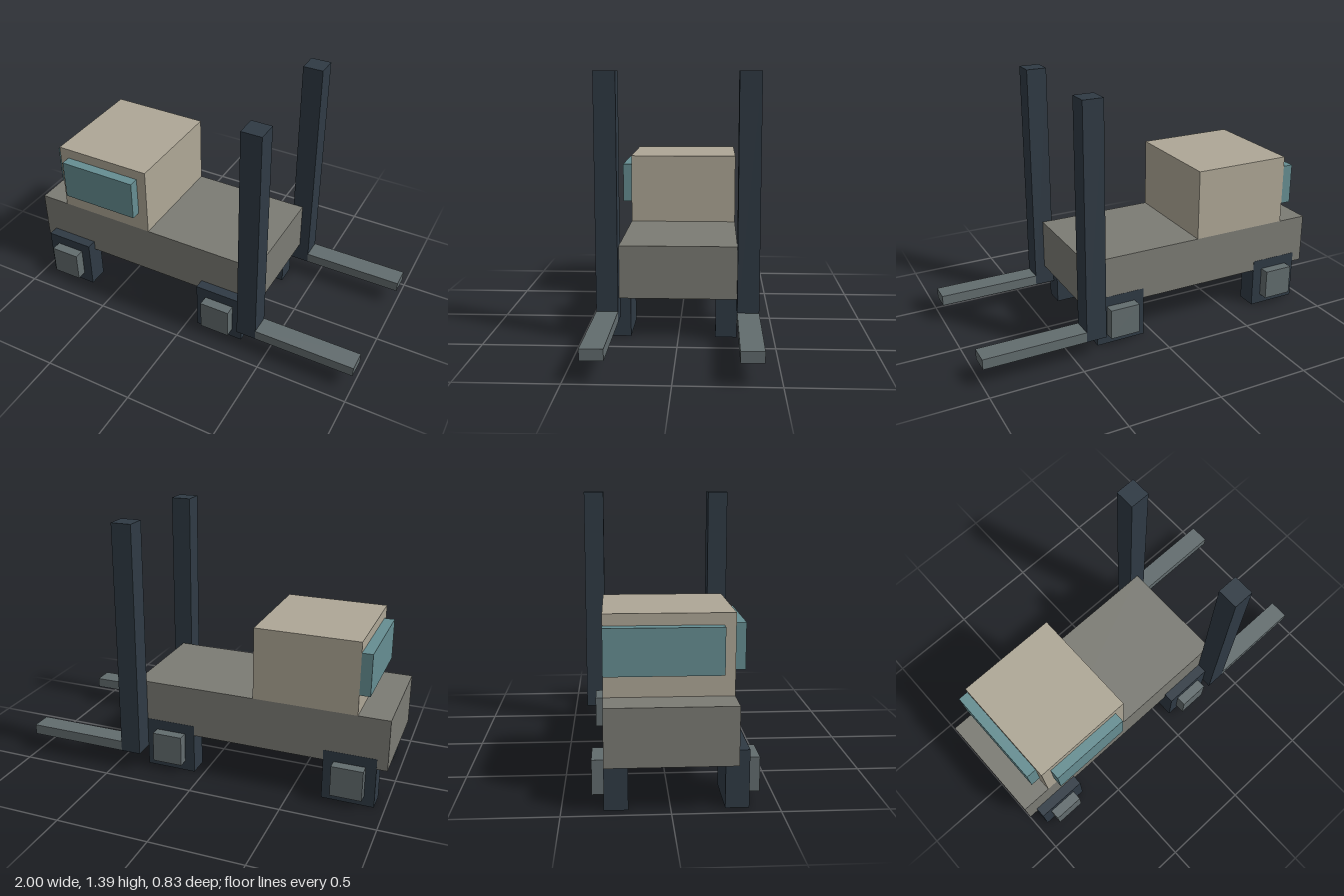
import * as THREE from 'three';

const material = (color) => new THREE.MeshStandardMaterial({ color, flatShading: true });

export function createModel() {
  const model = new THREE.Group();
  model.name = 'forkliftTruck';
  const dark = material(0x2f3a44);
  const steel = material(0x626c6e);
  const bodyPaint = material(0x7b7b74);
  const cabPaint = material(0xaea796);
  const glass = material(0x668e92);

  // Box given by its [min, max] range on each axis
  function block(name, mat, [x0, x1], [y0, y1], [z0, z1]) {
    const mesh = new THREE.Mesh(new THREE.BoxGeometry(x1 - x0, y1 - y0, z1 - z0), mat);
    mesh.position.set((x0 + x1) / 2, (y0 + y1) / 2, (z0 + z1) / 2);
    mesh.name = name;
    model.add(mesh);
  }

  // Chassis and cab
  block('chassis', bodyPaint, [-1, 0.388], [0.222, 0.5], [-0.305, 0.305]);
  block('cab', cabPaint, [-0.834, -0.28], [0.5, 0.89], [-0.305, 0.305]);

  // Windows on one side and one end of the cab
  block('sideWindow', glass, [-0.78, -0.335], [0.611, 0.834], [0.305, 0.36]);
  block('endWindow', glass, [-0.89, -0.834], [0.611, 0.834], [-0.305, 0.25]);

  // Square wheels with hubs; the far pair sits flush with the chassis side
  for (const x of [-0.945, 0.055]) {
    for (const [side, inner, outer, hub] of [['front', 0.25, 0.361, 0.417], ['back', -0.194, -0.306, -0.361]]) {
      const span = (a, b) => [Math.min(a, b), Math.max(a, b)];
      block(side + 'Wheel', dark, [x, x + 0.278], [0, 0.278], span(inner, outer));
      block(side + 'Hub', steel, [x + 0.055, x + 0.222], [0.055, 0.222], span(outer, hub));
    }
  }

  // Mast posts and forks
  for (const [side, z] of [['front', [0.305, 0.417]], ['back', [-0.417, -0.305]]]) {
    block(side + 'Mast', dark, [0.333, 0.444], [0.111, 1.39], z);
    block(side + 'Fork', steel, [0.444, 1], [0.111, 0.167], z);
  }

  return model;
}
